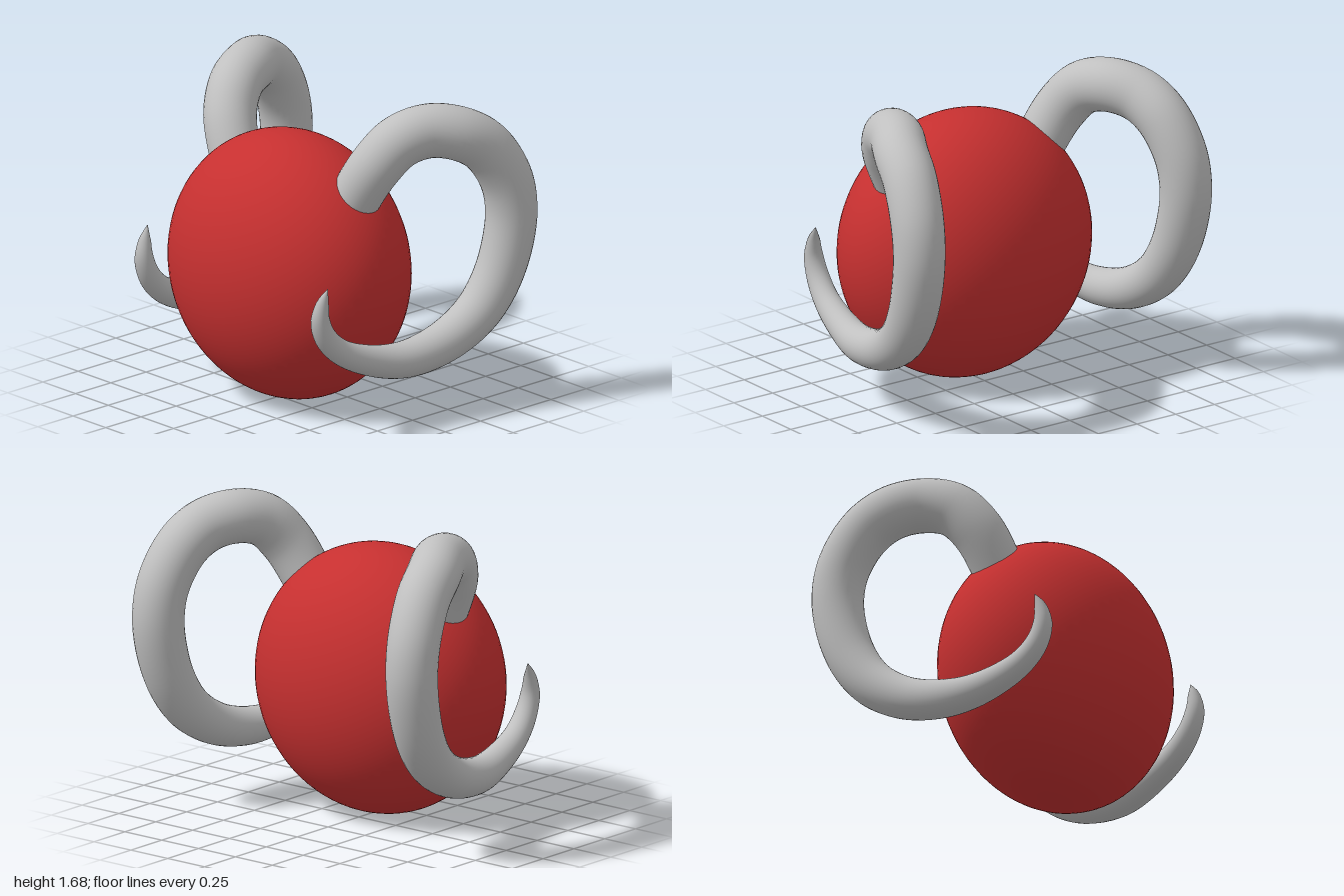
import * as THREE from 'three';

// Horn stations from root to tip: x, y, z, radius
const HORN = [
  [0.37, 1.02, 0.15, 0.130],
  [0.475, 1.22, 0.13, 0.136],
  [0.56, 1.38, 0.08, 0.140],
  [0.625, 1.50, -0.02, 0.142],
  [0.69, 1.542, -0.17, 0.143],
  [0.77, 1.51, -0.32, 0.143],
  [0.815, 1.42, -0.455, 0.142],
  [0.85, 1.24, -0.565, 0.140],
  [0.86, 1.06, -0.598, 0.137],
  [0.855, 0.86, -0.572, 0.134],
  [0.84, 0.67, -0.50, 0.129],
  [0.82, 0.52, -0.385, 0.122],
  [0.79, 0.405, -0.195, 0.112],
  [0.76, 0.356, 0.04, 0.100],
  [0.725, 0.378, 0.235, 0.085],
  [0.69, 0.465, 0.445, 0.068],
  [0.675, 0.565, 0.545, 0.060],
  [0.674, 0.67, 0.584, 0.051],
  [0.681, 0.77, 0.572, 0.032],
  [0.69, 0.84, 0.545, 0.001],
];

// Tapered tube: each ring of a unit tube is scaled about its centre
function hornGeometry(side) {
  const curve = new THREE.CatmullRomCurve3(
    HORN.map(([x, y, z]) => new THREE.Vector3(side * x, y, z)));
  const rings = 120, sides = 32;
  const geo = new THREE.TubeGeometry(curve, rings, 1, sides);
  const pos = geo.attributes.position;
  const v = new THREE.Vector3();
  for (let i = 0; i <= rings; i++) {
    const u = i / rings;
    const centre = curve.getPointAt(u);
    const t = curve.getUtoTmapping(u) * (HORN.length - 1);
    const k = Math.min(Math.floor(t), HORN.length - 2);
    const radius = THREE.MathUtils.lerp(HORN[k][3], HORN[k + 1][3], t - k);
    for (let j = 0; j <= sides; j++) {
      const n = i * (sides + 1) + j;
      v.fromBufferAttribute(pos, n).sub(centre).multiplyScalar(radius).add(centre);
      pos.setXYZ(n, v.x, v.y, v.z);
    }
  }
  return geo;
}

export function createModel() {
  const model = new THREE.Group();
  const red = new THREE.MeshStandardMaterial({ color: 0xc63030 });
  red.name = 'red';
  const grey = new THREE.MeshStandardMaterial({ color: 0xc0c0c0 });
  grey.name = 'horn grey';

  // Head: a ball flattened from front to back
  const head = new THREE.Mesh(new THREE.SphereGeometry(1, 64, 48), red);
  head.name = 'head';
  head.scale.set(0.717, 0.717, 0.556);
  head.position.set(0, 0.72, 0.177);
  model.add(head);

  // Pair of curled horns
  for (const side of [1, -1]) {
    const horn = new THREE.Mesh(hornGeometry(side), grey);
    horn.name = side > 0 ? 'leftHorn' : 'rightHorn';
    model.add(horn);
  }
  return model;
}
